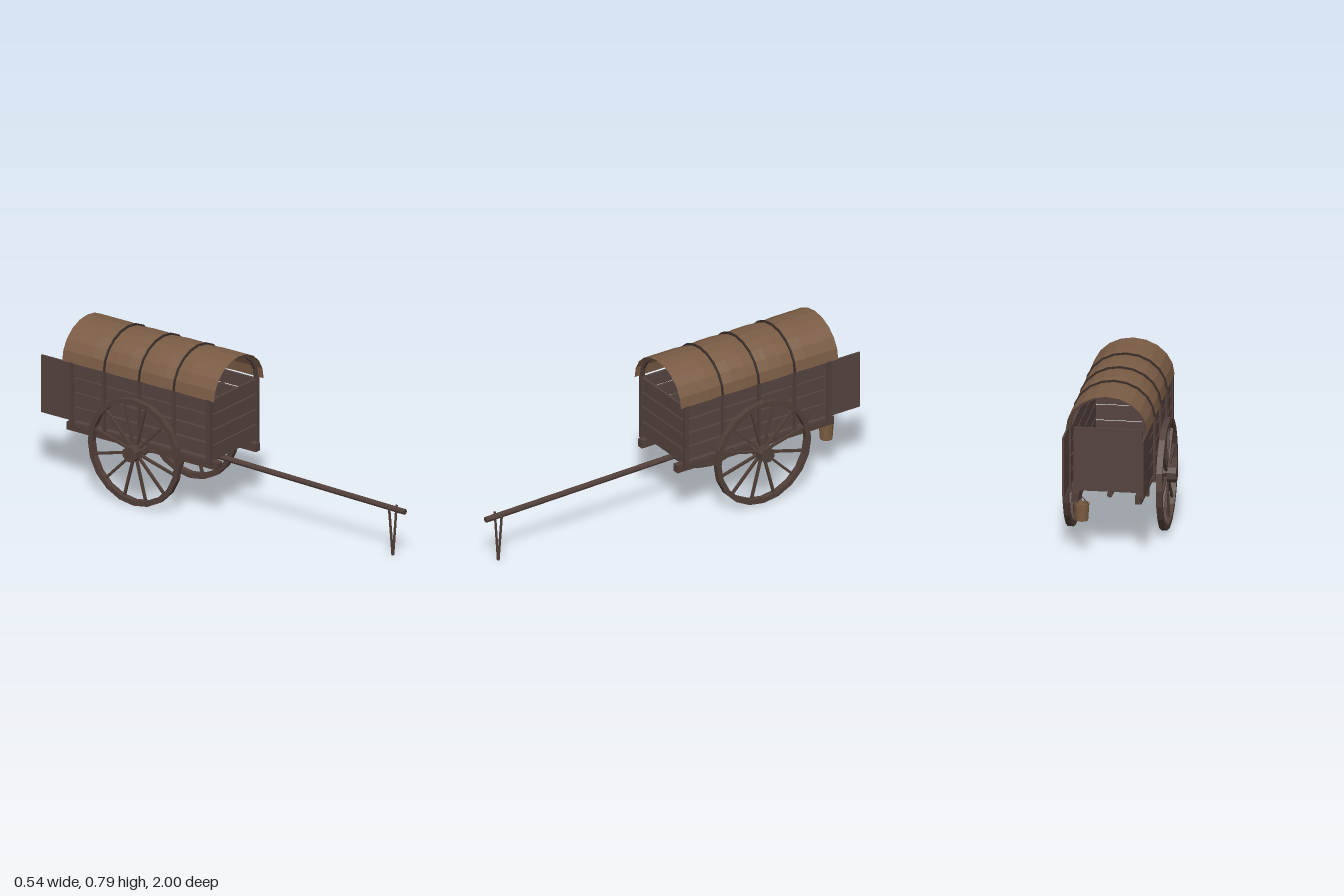
import * as THREE from 'three';

const mat = (name, color, side = THREE.FrontSide) =>
  new THREE.MeshStandardMaterial({ name, color, side, flatShading: true });

export function createModel() {
  const plankWood = mat('plank wood', 0x54433f);
  const frameWood = mat('frame wood', 0x513f39);
  const hoopWood = mat('dark hoop wood', 0x3a2d28);
  const cloth = mat('canvas cloth', 0x7a5c45, THREE.DoubleSide);
  const bucketWood = mat('bucket wood', 0x7d5e42, THREE.DoubleSide);

  const model = new THREE.Group();
  model.name = 'coveredCart';

  const add = (name, geo, material, x = 0, y = 0, z = 0, parent = model) => {
    const m = new THREE.Mesh(geo, material);
    m.name = name;
    m.position.set(x, y, z);
    parent.add(m);
    return m;
  };
  const box = (name, material, w, h, d, x, y, z, parent) =>
    add(name, new THREE.BoxGeometry(w, h, d), material, x, y, z, parent);
  // Round rod between two points
  const rod = (name, material, a, b, r, sides = 6) => {
    const p = new THREE.Vector3(...a), q = new THREE.Vector3(...b);
    const m = add(name, new THREE.CylinderGeometry(r, r, p.distanceTo(q), sides), material);
    m.position.copy(p).lerp(q, 0.5);
    m.quaternion.setFromUnitVectors(new THREE.Vector3(0, 1, 0), q.sub(p).normalize());
    return m;
  };

  const FRONT = -0.015, BACK = -0.825, AXLE_Y = 0.273, AXLE_Z = -0.425, TOP = 0.62;
  const hoopZ = [-0.22, -0.425, -0.63];
  const midZ = (FRONT + BACK) / 2, length = FRONT - BACK;

  // Box body: floor, planked front and sides, plain tailgate
  box('floor', plankWood, 0.37, 0.015, length, 0, 0.3125, midZ);
  for (let i = 0; i < 4; i++) {
    const y = 0.348 + i * 0.0775;
    box('frontPlank', plankWood, 0.345, 0.071, 0.012, 0, y, FRONT);
    for (const s of [-1, 1])
      box('sidePlank', plankWood, 0.012, 0.064, length, s * 0.18, y + 0.019 - i * 0.0045, midZ);
  }
  box('tailgate', plankWood, 0.33, 0.3, 0.012, 0, 0.47, BACK);

  for (const s of [-1, 1]) {
    // Uprights and long bed beams
    for (const z of [FRONT, BACK])
      box('cornerPost', frameWood, 0.02, 0.33, 0.022, s * 0.185, 0.458, z);
    for (const z of hoopZ)
      box('sidePost', frameWood, 0.014, 0.325, 0.014, s * 0.191, 0.46, z);
    box('bedBeam', frameWood, 0.032, 0.04, 0.89, s * 0.15, 0.284, -0.425);
    // Open rear doors
    box('rearDoor', plankWood, 0.009, 0.29, 0.165, s * 0.19, 0.475, -0.9175);
  }

  // Arched hoop of rectangular section
  const ARCH = 10;
  const archPoints = (rx, ry) => Array.from({ length: ARCH + 1 }, (_, i) => {
    const t = (Math.PI * i) / ARCH;
    return new THREE.Vector2(rx * Math.cos(t), ry * Math.sin(t));
  });
  const hoop = (name, rx, ry, thick, depth, z) => {
    const shape = new THREE.Shape([
      ...archPoints(rx, ry), ...archPoints(rx - thick, ry - thick).reverse()]);
    const geo = new THREE.ExtrudeGeometry(shape, { depth, bevelEnabled: false });
    add(name, geo, name === 'outerHoop' ? hoopWood : frameWood, 0, TOP, z - depth / 2);
  };
  for (const z of hoopZ) hoop('outerHoop', 0.198, 0.176, 0.013, 0.008, z);
  for (const z of [FRONT, BACK]) hoop('endHoop', 0.19, 0.166, 0.014, 0.018, z);

  // Canvas cover, drawn in under each outer hoop
  const sections = [[0.02, 1], [-0.15, 1]];
  hoopZ.forEach((z, i) => {
    sections.push([z, 0.97]);
    if (i < 2) sections.push([z - 0.065, 1], [z - 0.14, 1]);
  });
  sections.push([-0.7, 1], [-0.875, 1]);
  const pos = [], index = [];
  sections.forEach(([z, s], j) => {
    for (const p of archPoints(0.195 * s, 0.172 * s)) pos.push(p.x, TOP + p.y, z);
    if (j === 0) return;
    for (let i = 0; i < ARCH; i++) {
      const b = j * (ARCH + 1) + i, a = b - ARCH - 1;
      index.push(a, b, a + 1, b, b + 1, a + 1);
    }
  });
  const cover = new THREE.BufferGeometry();
  cover.setAttribute('position', new THREE.Float32BufferAttribute(pos, 3));
  cover.setIndex(index);
  cover.computeVertexNormals();
  add('canvasCover', cover, cloth);

  // Axle and spoked wheels
  box('axle', frameWood, 0.4, 0.033, 0.033, 0, AXLE_Y, AXLE_Z);
  const R = 0.268, RIM = 0.026, WIDTH = 0.029;
  const circle = (r) => Array.from({ length: 20 }, (_, i) => {
    const t = (i / 20) * Math.PI * 2;
    return new THREE.Vector2(r * Math.cos(t), r * Math.sin(t));
  });
  const rimShape = new THREE.Shape(circle(R));
  rimShape.holes.push(new THREE.Path(circle(R - RIM)));
  const rimGeo = new THREE.ExtrudeGeometry(rimShape, { depth: WIDTH, bevelEnabled: false });
  rimGeo.translate(0, 0, -WIDTH / 2).rotateY(Math.PI / 2);
  for (const s of [-1, 1]) {
    const wheel = new THREE.Group();
    wheel.name = s > 0 ? 'leftWheel' : 'rightWheel';
    wheel.position.set(s * 0.2225, AXLE_Y, AXLE_Z);
    model.add(wheel);
    add('rim', rimGeo, frameWood, 0, 0, 0, wheel);
    const hub = new THREE.CylinderGeometry(0.04, 0.04, 0.095, 8);
    hub.rotateY(Math.PI / 8).rotateZ(Math.PI / 2);
    add('hub', hub, frameWood, 0, 0, 0, wheel);
    for (let i = 0; i < 12; i++) {
      const spoke = new THREE.BoxGeometry(0.012, 0.22, 0.012);
      spoke.translate(0, 0.14, 0).rotateX(((i + 0.5) * Math.PI) / 6);
      add('spoke', spoke, frameWood, 0, 0, 0, wheel);
    }
  }

  // Draw pole with its V-shaped prop
  rod('drawPole', frameWood, [0, 0.236, 1], [0, 0.272, -0.77], 0.0145, 8);
  for (const s of [-1, 1])
    rod('poleProp', frameWood, [s * 0.029, 0.245, 0.928], [s * 0.002, 0.002, 0.928], 0.0065);

  // Bucket hanging behind the bed
  const bx = 0.12, bz = -0.857;
  const profile = [[0, 0.172], [0.03, 0.17], [0.036, 0.255], [0.031, 0.255], [0.027, 0.18], [0, 0.18]];
  add('bucket', new THREE.LatheGeometry(profile.map((p) => new THREE.Vector2(...p)), 10),
    bucketWood, bx, 0, bz);
  for (const s of [-1, 1])
    rod('bucketHandle', hoopWood, [bx + s * 0.032, 0.25, bz], [bx, 0.285, bz], 0.002, 5);
  rod('bucketHanger', hoopWood, [bx, 0.283, bz], [bx + 0.02, 0.295, bz], 0.003, 5);

  return model;
}
